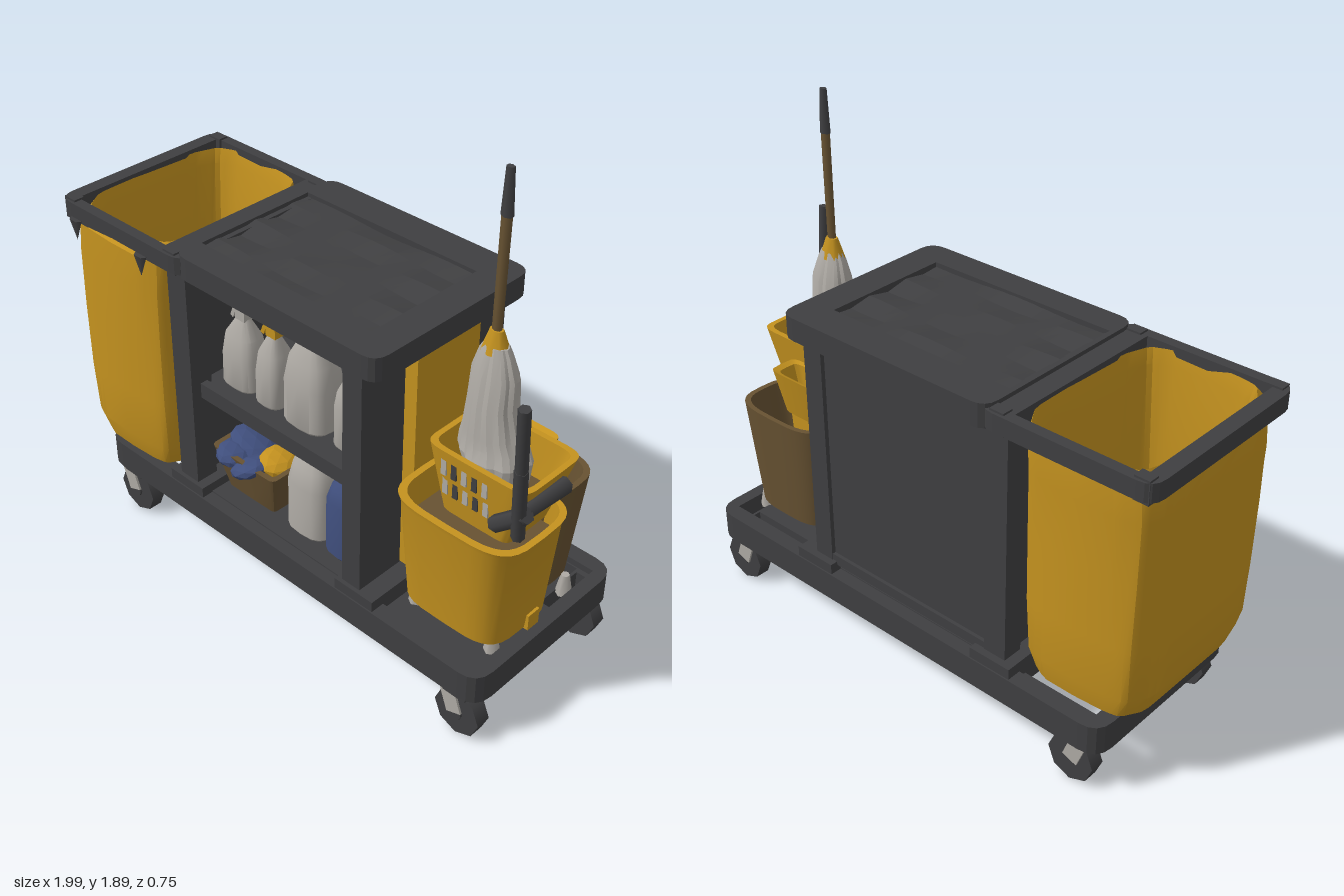
import * as THREE from 'three';
import { toCreasedNormals } from 'three/addons/utils/BufferGeometryUtils.js';

const mat = (name, color) => Object.assign(new THREE.MeshStandardMaterial({ color }), { name });

export function createModel() {
  const dark = mat('charcoal plastic', 0x3f3f41);
  const yellow = mat('yellow plastic', 0xc4921f);
  const brown = mat('brown', 0x675232);
  const white = mat('pale grey', 0xaeaaa4);
  const blue = mat('blue', 0x3f4e7c);
  const cart = new THREE.Group();
  cart.name = 'cleaningCart';

  const add = (name, geo, material, parent = cart) => {
    const m = new THREE.Mesh(geo, material);
    m.name = name;
    parent.add(m);
    return m;
  };

  // Box given by its limits on each axis
  const box = (name, m, x0, x1, y0, y1, z0, z1, parent) => {
    const b = add(name, new THREE.BoxGeometry(x1 - x0, y1 - y0, z1 - z0), m, parent);
    b.position.set((x0 + x1) / 2, (y0 + y1) / 2, (z0 + z1) / 2);
    return b;
  };

  // Straight bar between two points
  const bar = (name, m, a, b, r0, r1 = r0, sides = 6) => {
    const p = new THREE.Vector3(...a), d = new THREE.Vector3(...b).sub(p);
    const c = add(name, new THREE.CylinderGeometry(r1, r0, d.length(), sides), m);
    c.position.copy(p).addScaledVector(d, 0.5);
    c.quaternion.setFromUnitVectors(new THREE.Vector3(0, 1, 0), d.normalize());
    return c;
  };

  // Horizontal plate with rounded corners and rectangular holes [x0, x1, z0, z1]
  const slab = (name, m, [x0, x1, z0, z1], r, y0, y1, holes = []) => {
    const s = new THREE.Shape();
    s.moveTo(x0 + r, -z0).lineTo(x1 - r, -z0).quadraticCurveTo(x1, -z0, x1, -z0 - r)
      .lineTo(x1, -z1 + r).quadraticCurveTo(x1, -z1, x1 - r, -z1)
      .lineTo(x0 + r, -z1).quadraticCurveTo(x0, -z1, x0, -z1 + r)
      .lineTo(x0, -z0 - r).quadraticCurveTo(x0, -z0, x0 + r, -z0);
    for (const [a, b, c, d] of holes) {
      s.holes.push(new THREE.Path().moveTo(a, -c).lineTo(a, -d).lineTo(b, -d).lineTo(b, -c).lineTo(a, -c));
    }
    const g = new THREE.ExtrudeGeometry(s, { depth: y1 - y0, bevelEnabled: false, curveSegments: 4 });
    g.rotateX(-Math.PI / 2).translate(0, y0, 0);
    return add(name, g, m);
  };

  // Loft through sections [y, x0, x1, z0, z1]; e sets how boxy, fold adds pleats
  const loft = (name, m, sections, { e = 6, n = 32, fold = 0, k = 7, crease = 0.6 } = {}) => {
    const pos = [], idx = [];
    const power = (v) => Math.sign(v) * Math.abs(v) ** (2 / e);
    sections.forEach(([y, x0, x1, z0, z1]) => {
      for (let i = 0; i < n; i++) {
        const a = (i / n) * Math.PI * 2;
        const f = 1 + fold * Math.sin(k * a + 2 * y) * Math.cos(3 * a - 4 * y);
        pos.push((x0 + x1) / 2 + power(Math.cos(a)) * f * (x1 - x0) / 2, y,
          (z0 + z1) / 2 - power(Math.sin(a)) * f * (z1 - z0) / 2);
      }
    });
    const last = sections.length - 1, base = sections.length * n;
    for (const [y, x0, x1, z0, z1] of [sections[0], sections[last]]) pos.push((x0 + x1) / 2, y, (z0 + z1) / 2);
    for (let i = 0; i < n; i++) {
      const j = (i + 1) % n;
      for (let s = 0; s < last; s++) {
        const b = s * n, t = b + n;
        idx.push(b + i, b + j, t + j, b + i, t + j, t + i);
      }
      idx.push(base, j, i, base + 1, last * n + i, last * n + j);
    }
    const g = new THREE.BufferGeometry();
    g.setAttribute('position', new THREE.Float32BufferAttribute(pos, 3));
    g.setIndex(idx);
    return add(name, toCreasedNormals(g, crease), m);
  };

  // Base tray: raised rim, floor with openings, thin centre plate
  slab('baseRim', dark, [-0.87, 0.95, -0.38, 0.35], 0.08, 0.185, 0.295, [[-0.81, 0.9, -0.32, 0.29]]);
  slab('baseFloor', dark, [-0.82, 0.91, -0.33, 0.3], 0.01, 0.2, 0.27,
    [[-0.8, -0.48, -0.29, 0.26], [-0.38, 0.4, -0.27, 0.24], [0.5, 0.84, -0.315, -0.27], [0.85, 0.9, -0.3, -0.1]]);
  box('cabinetFloor', dark, -0.42, 0.42, 0.26, 0.3, -0.33, 0.3);

  // Casters
  for (const x of [-0.74, 0.86]) for (const z of [-0.318, 0.302]) {
    const caster = new THREE.Group();
    caster.name = 'caster';
    caster.position.set(x, 0, z);
    cart.add(caster);
    const roll = (name, r, w, m, s) => {
      const c = add(name, new THREE.CylinderGeometry(r, r, w, s), m, caster);
      c.rotation.x = Math.PI / 2;
      c.position.y = 0.09;
    };
    roll('wheel', 0.09, 0.055, dark, 8);
    roll('hub', 0.025, 0.07, dark, 8);
    for (const s of [-1, 1]) {
      const f = box('fork', white, -0.03, 0.03, 0.09, 0.185, s * 0.034 - 0.004, s * 0.034 + 0.004, caster);
      f.rotation.z = 0.35;
      f.position.x = -0.02;
    }
    box('swivel', dark, -0.05, 0.04, 0.17, 0.195, -0.04, 0.04, caster);
  }

  // Cabinet: plinths, posts, walls and shelf
  for (const [x0, x1] of [[-0.5, -0.33], [0.33, 0.5]]) box('plinth', dark, x0, x1, 0.27, 0.335, -0.375, 0.345);
  for (const [x0, x1] of [[-0.46, -0.37], [0.35, 0.43]]) {
    box('frontPost', dark, x0, x1, 0.3, 1.22, 0.24, 0.33);
    box('backPost', dark, x0, x1, 0.3, 1.22, -0.348, -0.27);
  }
  box('rightWall', dark, -0.44, -0.4, 0.3, 1.22, -0.33, 0.3);
  box('leftWall', dark, 0.39, 0.43, 0.3, 1.22, -0.33, 0.3);
  box('backPanel', dark, -0.4, 0.38, 0.32, 1.22, -0.332, -0.305);
  for (const [y0, y1] of [[0.32, 0.36], [1.17, 1.22]]) box('backTrim', dark, -0.4, 0.38, y0, y1, -0.345, -0.32);
  box('shelf', dark, -0.4, 0.39, 0.7, 0.735, -0.33, 0.27);
  box('shelfLip', dark, -0.37, 0.35, 0.69, 0.75, 0.26, 0.29);
  box('sideBag', yellow, 0.42, 0.48, 0.34, 1.2, -0.16, 0.135);

  // Top: worktop rim with sunken panel, and the frame that holds the bag
  slab('worktopRim', dark, [-0.4, 0.5, -0.382, 0.348], 0.06, 1.2, 1.285, [[-0.38, 0.38, -0.25, 0.24]]);
  const top = new THREE.PlaneGeometry(0.78, 0.52, 14, 6).rotateX(-Math.PI / 2).translate(0, 1.268, 0);
  const tp = top.attributes.position;
  for (let i = 0; i < tp.count; i++) {
    tp.setY(i, tp.getY(i) + 0.01 * Math.sin(tp.getZ(i) * 31 + tp.getX(i) * 4) * Math.cos(tp.getX(i) * 9));
  }
  add('worktopPanel', toCreasedNormals(top, 0.1), dark);
  box('worktopBase', dark, -0.38, 0.4, 1.2, 1.23, -0.3, 0.3);
  slab('bagFrame', dark, [-1, -0.36, -0.375, 0.355], 0.06, 1.205, 1.27, [[-0.945, -0.475, -0.335, 0.315]]);
  for (const x of [-0.965, -0.44]) for (const z of [-0.345, 0.325]) {
    box('frameCorner', dark, x - 0.015, x + 0.04, 1.195, 1.277, z - 0.02, z + 0.02);
  }

  // Refuse bag: outside up, over the edge, inside down
  loft('refuseBag', yellow, [
    [0.295, -0.88, -0.54, -0.27, 0.29], [0.32, -0.93, -0.505, -0.31, 0.34], [0.4, -0.957, -0.48, -0.325, 0.36],
    [0.6, -0.96, -0.475, -0.33, 0.365], [0.85, -0.965, -0.47, -0.33, 0.365], [1.08, -0.97, -0.465, -0.335, 0.365],
    [1.205, -0.965, -0.46, -0.34, 0.36], [1.255, -0.945, -0.475, -0.335, 0.315], [1.2, -0.935, -0.485, -0.32, 0.305],
    [0.8, -0.93, -0.5, -0.3, 0.31], [0.4, -0.92, -0.52, -0.29, 0.3], [0.33, -0.86, -0.56, -0.25, 0.26],
  ], { e: 5.5, n: 40, fold: 0.018, crease: 0.35 });
  for (const x of [-0.91, -0.56]) {
    const clip = add('bagClip', new THREE.ConeGeometry(0.03, 0.08, 5), dark);
    clip.position.set(x, 1.175, 0.36);
    clip.rotation.x = Math.PI;
    clip.scale.z = 0.5;
  }

  // Bottles: oval body narrowing to a neck
  const bottle = (name, m, x, z, y, w, d, h, shoulder, neck) => {
    const s = (t, f) => [y + h * t, x - w * f / 2, x + w * f / 2, z - d * f / 2, z + d * f / 2];
    loft(name, m, [s(0, 0.92), s(0.03, 1), s(shoulder, 0.98), s((1 + shoulder) / 2, 0.82),
      s(0.93, neck + 0.12), s(1, neck)], { e: 3, n: 16 });
  };
  for (const [x, trigger] of [[-0.28, white], [-0.13, yellow]]) {
    bottle('sprayBottle', white, x, 0.16, 0.735, x < -0.2 ? 0.16 : 0.12, 0.12, 0.28, 0.45, 0.25);
    box('sprayHead', white, x - 0.04, x + 0.045, 1.04, 1.09, 0.14, 0.18);
    box('sprayNeck', trigger, x - 0.02, x + 0.025, 1.0, 1.045, 0.14, 0.18);
    box('sprayNozzle', trigger, x - 0.07, x - 0.03, 1.045, 1.08, 0.145, 0.175);
    box('sprayTrigger', trigger, x - 0.045, x - 0.03, 0.99, 1.05, 0.15, 0.17).rotation.z = -0.4;
  }
  bottle('largeBottle', white, 0.045, 0.15, 0.735, 0.2, 0.16, 0.34, 0.5, 0.38);
  bottle('smallBottle', white, 0.225, 0.16, 0.735, 0.1, 0.1, 0.265, 0.6, 0.4);
  bottle('whiteJug', white, 0.07, 0.16, 0.3, 0.19, 0.18, 0.35, 0.6, 0.42);
  bottle('blueJug', blue, 0.25, 0.16, 0.3, 0.18, 0.18, 0.325, 0.7, 0.5);
  box('jugCap', white, 0.225, 0.275, 0.615, 0.65, 0.135, 0.185);

  // Basket with folded cloths
  loft('clothBasket', brown, [[0.3, -0.32, -0.08, 0, 0.23], [0.48, -0.36, -0.04, -0.04, 0.27],
    [0.48, -0.34, -0.06, -0.02, 0.25], [0.42, -0.33, -0.07, 0, 0.24]], { e: 14, n: 16 });
  const cloth = (m, x, y, z, w, tilt) => {
    const c = add('cloth', toCreasedNormals(new THREE.IcosahedronGeometry(1, 1), 0.1), m);
    c.scale.set(w, 0.035, 0.08);
    c.position.set(x, y, z);
    c.rotation.z = tilt;
  };
  cloth(blue, -0.26, 0.47, 0.15, 0.1, -0.3);
  cloth(blue, -0.19, 0.45, 0.23, 0.08, 0.4);
  cloth(blue, -0.28, 0.46, 0.22, 0.07, -0.15);
  cloth(yellow, -0.12, 0.475, 0.16, 0.07, -0.25);

  // Mop bucket: yellow front tub and narrower brown rear tub with dirty water, on small feet
  loft('bucketFront', yellow, [[0.335, 0.515, 0.92, -0.08, 0.25], [0.74, 0.495, 0.965, -0.08, 0.285],
    [0.76, 0.487, 0.978, -0.08, 0.29], [0.76, 0.51, 0.955, -0.065, 0.265], [0.45, 0.53, 0.92, -0.06, 0.24]], { e: 4 });
  loft('bucketRear', brown, [[0.335, 0.515, 0.86, -0.27, -0.03], [0.755, 0.49, 0.9, -0.298, -0.03],
    [0.755, 0.51, 0.88, -0.28, -0.05], [0.5, 0.53, 0.85, -0.26, -0.05]], { e: 3.4 });
  box('bucketWater', brown, 0.535, 0.92, 0.66, 0.668, -0.04, 0.235);
  for (const x of [0.55, 0.87]) for (const z of [-0.2, 0.18]) {
    add('bucketFoot', new THREE.CylinderGeometry(0.015, 0.03, 0.08, 6), white).position.set(x, 0.3, z);
  }
  box('bucketSpout', yellow, 0.9, 0.935, 0.33, 0.39, 0.03, 0.085);

  // Wringer with slotted front
  loft('wringer', yellow, [[0.7, 0.61, 0.88, -0.06, 0.16], [0.955, 0.565, 0.96, -0.09, 0.195],
    [0.955, 0.585, 0.94, -0.07, 0.175], [0.75, 0.63, 0.87, -0.05, 0.14]], { e: 8 });
  box('wringerWater', brown, 0.62, 0.89, 0.8, 0.808, -0.05, 0.15);
  loft('wringerBack', yellow, [[0.7, 0.6, 0.78, -0.16, -0.07], [0.88, 0.56, 0.8, -0.2, -0.08],
    [0.87, 0.58, 0.78, -0.18, -0.09], [0.78, 0.6, 0.76, -0.16, -0.09]], { e: 6, n: 16 });
  for (let i = 0; i < 5; i++) for (const y of [0.815, 0.895]) {
    box('wringerSlot', i % 2 ? dark : white, 0.632 + i * 0.04, 0.652 + i * 0.04, y - 0.035, y + 0.035, 0, 0.006)
      .position.z = 0.175 + (y - 0.815) * 0.14;
  }
  bar('leverLink', dark, [0.85, 0.79, 0.19], [0.97, 0.9, 0.2], 0.028);
  bar('leverPivot', dark, [0.95, 0.89, 0.18], [0.96, 0.895, 0.0], 0.025, 0.03);
  bar('leverArm', dark, [0.945, 0.8, 0.2], [0.962, 1.08, 0.235], 0.022);
  bar('leverGrip', dark, [0.962, 1.07, 0.234], [0.976, 1.32, 0.265], 0.02);

  // Mop: strands, collar, handle and grip
  loft('mopHead', white, [[0.82, 0.65, 0.84, -0.04, 0.13], [0.92, 0.6, 0.85, -0.05, 0.14],
    [0.96, 0.6, 0.835, -0.042, 0.127], [1.0, 0.61, 0.815, -0.04, 0.125], [1.1, 0.62, 0.79, -0.025, 0.115],
    [1.2, 0.622, 0.785, -0.015, 0.1], [1.27, 0.643, 0.76, 0.005, 0.083], [1.3, 0.66, 0.745, 0.015, 0.075]],
  { e: 2, n: 30, fold: 0.07, k: 9, crease: 0.3 });
  bar('mopCollar', yellow, [0.699, 1.275, 0.045], [0.698, 1.35, 0.045], 0.052, 0.024, 8).scale.z = 0.75;
  bar('mopHandle', brown, [0.698, 1.33, 0.045], [0.708, 1.74, 0.05], 0.017, 0.018).scale.z = 0.75;
  bar('mopGrip', dark, [0.708, 1.73, 0.05], [0.711, 1.885, 0.053], 0.021, 0.014).scale.z = 0.75;

  return cart;
}
